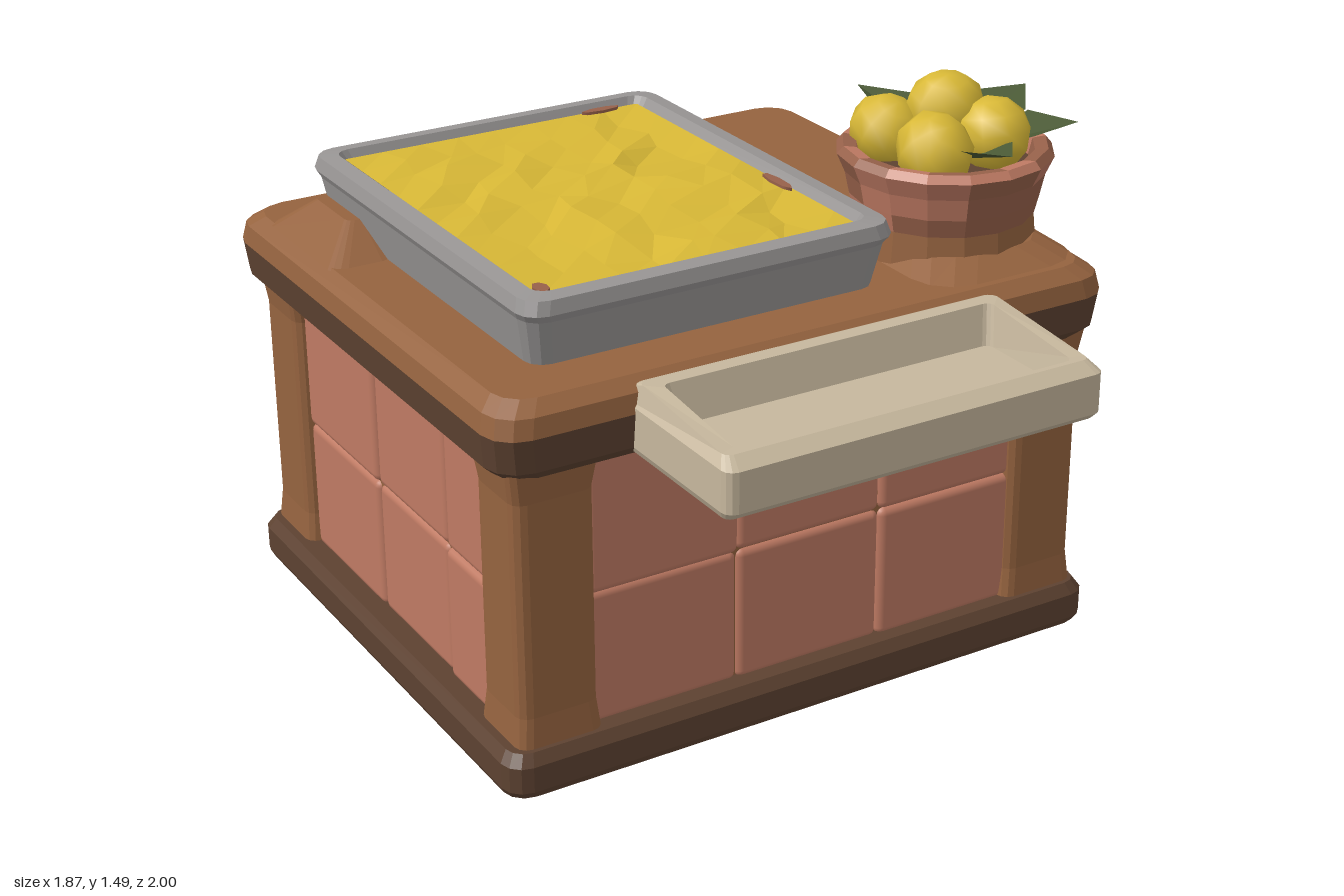
import * as THREE from 'three';
import { RoundedBoxGeometry } from 'three/addons/geometries/RoundedBoxGeometry.js';

const mat = (name, color, side = THREE.FrontSide) => {
  const m = new THREE.MeshStandardMaterial({ color, side });
  m.name = name;
  return m;
};

// Faceted copy of a geometry
function facet(g) {
  const f = g.index ? g.toNonIndexed() : g;
  f.computeVertexNormals();
  return f;
}

// Skin over stacked rounded rectangles [x0, x1, z0, z1, y, cornerRadius]
function loft(rings, capped = true, bend = (x, y) => y) {
  const pos = [], idx = [], steps = 3, n = 4 * (steps + 1);
  for (const [x0, x1, z0, z1, y, r] of rings) {
    for (let q = 0; q < 4; q++) {
      const cx = q === 0 || q === 3 ? x1 - r : x0 + r;
      const cz = q < 2 ? z1 - r : z0 + r;
      for (let s = 0; s <= steps; s++) {
        const a = (q + s / steps) * Math.PI / 2;
        const x = cx + r * Math.cos(a), z = cz + r * Math.sin(a);
        pos.push(x, bend(x, y, z), z);
      }
    }
  }
  for (let i = 0; i < rings.length - 1; i++) {
    for (let j = 0; j < n; j++) {
      const a = i * n + j, b = i * n + (j + 1) % n;
      idx.push(a, a + n, b, b, a + n, b + n);
    }
  }
  if (capped) {
    const last = (rings.length - 1) * n;
    for (let j = 1; j < n - 1; j++) {
      idx.push(0, j, j + 1, last, last + j + 1, last + j);
    }
  }
  const g = new THREE.BufferGeometry();
  g.setAttribute('position', new THREE.Float32BufferAttribute(pos, 3));
  g.setIndex(idx);
  return facet(g);
}

export function createModel() {
  const root = new THREE.Group();
  root.name = 'kitchenCounter';
  const wood = mat('wood', 0x95633f);
  const darkWood = mat('darkWood', 0x5d4231);
  const clayTile = mat('clayTile', 0xbf7a63);
  const potClay = mat('potClay', 0x97614a);
  const metal = mat('greyMetal', 0x989594);
  const cream = mat('cream', 0xc6b79d);
  const yellow = mat('yellow', 0xd8b836);
  const green = mat('leafGreen', 0x4a5935, THREE.DoubleSide);

  const add = (name, geo, material, parent = root) => {
    const m = new THREE.Mesh(geo, material);
    m.name = name;
    parent.add(m);
    return m;
  };
  let seed = 7;
  const rnd = () => (seed = (seed * 16807) % 2147483647) / 2147483647 - 0.5;

  // Open plinth frame
  add('plinth', loft([
    [-0.88, 0.79, -0.94, 0.54, 0, 0.04], [-0.92, 0.83, -0.97, 0.57, 0, 0.06],
    [-0.93, 0.84, -0.98, 0.58, 0.02, 0.06], [-0.93, 0.84, -0.98, 0.58, 0.09, 0.06],
    [-0.91, 0.82, -0.96, 0.56, 0.12, 0.05], [-0.84, 0.75, -0.90, 0.49, 0.12, 0.03],
    [-0.88, 0.79, -0.94, 0.54, 0, 0.04]], false), darkWood);

  // Countertop: dark hollow edge and lighter top
  add('counterEdge', loft([
    [-0.80, 0.72, -0.87, 0.46, 0.97, 0.03], [-0.80, 0.72, -0.87, 0.46, 0.85, 0.03],
    [-0.90, 0.81, -0.96, 0.55, 0.85, 0.08], [-0.93, 0.84, -0.99, 0.58, 0.88, 0.09],
    [-0.94, 0.85, -1.0, 0.59, 0.97, 0.09]], false), darkWood);
  add('counterTop', loft([
    [-0.94, 0.85, -1.0, 0.59, 0.97, 0.09], [-0.93, 0.84, -0.99, 0.58, 1.02, 0.09],
    [-0.89, 0.80, -0.95, 0.54, 1.05, 0.08]]), wood);

  // Uneven swellings of the top beside the tray and under the bowl
  add('counterSwelling', loft([
    [-0.90, -0.72, -0.84, -0.40, 1.045, 0.04], [-0.79, -0.73, -0.76, -0.55, 1.12, 0.02]]), wood);
  add('counterSwelling', loft([
    [0.33, 0.82, -0.40, 0.53, 1.045, 0.12], [0.40, 0.76, 0.0, 0.44, 1.09, 0.12]]), wood);

  // Corner posts, flared a little at both ends
  for (const [x0, x1] of [[-0.88, -0.66], [0.58, 0.80]]) {
    for (const [z0, z1] of [[-0.95, -0.73], [0.33, 0.54]]) {
      const ring = (y, e) => [x0 - e, x1 + e, z0 - e, z1 + e, y, 0.035];
      add('cornerPost', loft([ring(0.08, 0.012), ring(0.2, 0), ring(0.78, 0), ring(0.88, 0.014)]), wood);
    }
  }

  // Clay tiles, three columns by two rows on every wall, with wooden battens in the joints
  const frontCols = [-0.68, -0.25, 0.18, 0.60], sideCols = [-0.74, -0.30, 0.11, 0.35];
  const rows = [0.11, 0.48, 0.855];
  const tileWall = (name, cols, x, z, turn) => {
    const wall = new THREE.Group();
    wall.name = name;
    wall.position.set(x, 0, z);
    wall.rotation.y = turn;
    root.add(wall);
    // a quarter turn sends local +x to world -z
    const along = u => (turn ? -u : u);
    const middle = (cols[0] + cols[3]) / 2;
    for (let c = 0; c < 3; c++) {
      const u = along((cols[c] + cols[c + 1]) / 2);
      for (let r = 0; r < 2; r++) {
        const w = cols[c + 1] - cols[c], h = rows[r + 1] - rows[r];
        const g = new RoundedBoxGeometry(w + 0.004, h + 0.004, 0.055, 2, 0.022);
        add('tile', g, clayTile, wall).position.set(u, (rows[r] + rows[r + 1]) / 2, rnd() * 0.012);
      }
      if (c) {
        add('batten', new THREE.BoxGeometry(0.035, 0.73, 0.025), wood, wall).position.set(along(cols[c]), 0.48, 0);
      }
    }
    for (const y of rows) {
      add('batten', new THREE.BoxGeometry(cols[3] - cols[0], 0.035, 0.025), wood, wall)
        .position.set(along(middle), y, 0);
    }
  };
  tileWall('frontTiles', frontCols, 0, 0.49, 0);
  tileWall('backTiles', frontCols, 0, -0.90, 0);
  tileWall('leftTiles', sideCols, 0.75, 0, Math.PI / 2);
  tileWall('rightTiles', sideCols, -0.83, 0, Math.PI / 2);

  // Pulled-out shallow drawer with a lower front lip
  add('drawer', loft([
    [-0.57, 0.48, 0.40, 0.98, 0.86, 0.02], [-0.58, 0.49, 0.40, 1.0, 0.88, 0.03],
    [-0.58, 0.49, 0.40, 1.0, 0.985, 0.03], [-0.56, 0.47, 0.57, 0.96, 1.04, 0.02],
    [-0.52, 0.43, 0.61, 0.945, 1.04, 0.02], [-0.50, 0.41, 0.64, 0.93, 0.94, 0.02]],
  true, (x, y, z) => (y > 1 && z > 0.9 ? y - 0.03 : y)), cream);

  // Baking tray with a rounded rim
  add('tray', loft([
    [-0.74, 0.24, -0.80, 0.39, 1.04, 0.05], [-0.765, 0.265, -0.82, 0.42, 1.17, 0.06],
    [-0.775, 0.28, -0.835, 0.43, 1.19, 0.06], [-0.765, 0.27, -0.825, 0.42, 1.225, 0.06],
    [-0.72, 0.225, -0.78, 0.375, 1.23, 0.04], [-0.70, 0.205, -0.765, 0.36, 1.20, 0.03],
    [-0.69, 0.195, -0.755, 0.35, 1.10, 0.03]]), metal);

  // Lumpy yellow filling
  const fill = new THREE.PlaneGeometry(0.90, 1.12, 8, 10).rotateX(-Math.PI / 2);
  const p = fill.attributes.position;
  for (let i = 0; i < p.count; i++) {
    const edge = Math.abs(p.getX(i)) > 0.44 || Math.abs(p.getZ(i)) > 0.55;
    p.setY(i, edge ? 0 : rnd() * 0.03);
    if (!edge) {
      p.setX(i, p.getX(i) + rnd() * 0.06);
      p.setZ(i, p.getZ(i) + rnd() * 0.06);
    }
  }
  add('filling', facet(fill), yellow).position.set(-0.247, 1.21, -0.202);

  // Browned crust along the rim of the filling: x, z, half sizes
  for (const [x, z, a, b] of [[0.19, 0.0, 0.015, 0.07], [-0.68, 0.32, 0.02, 0.03], [0.08, -0.75, 0.06, 0.015]]) {
    const crust = add('crust', new THREE.CylinderGeometry(1, 1, 0.008, 7), potClay);
    crust.position.set(x, 1.215, z);
    crust.scale.set(a, 1, b);
  }

  // Wooden foot, mottled clay bowl and dark soil
  const bowl = new THREE.Group();
  bowl.name = 'fruitBowl';
  bowl.position.set(0.575, 0, 0.205);
  root.add(bowl);
  const lathe = pts => facet(new THREE.LatheGeometry(pts.map(q => new THREE.Vector2(...q)), 16));
  add('bowlFoot', lathe([[0.25, 1.04], [0.245, 1.09], [0.24, 1.14]]), wood, bowl);
  const shell = lathe([[0.24, 1.14], [0.252, 1.19], [0.265, 1.25], [0.287, 1.30],
    [0.27, 1.32], [0.235, 1.315], [0.22, 1.25]]);
  for (let k = 0; k < shell.attributes.position.count; k += 6) {
    shell.addGroup(k, 6, rnd() > 0 ? 0 : 1);
  }
  add('bowlShell', shell, [clayTile, potClay], bowl);
  add('soil', new THREE.CircleGeometry(0.235, 14).rotateX(-Math.PI / 2), darkWood, bowl).position.y = 1.27;

  // Lemons: x, y, z, radius
  for (const [x, y, z, r] of [[0.60, 1.395, 0.17, 0.1], [0.47, 1.335, 0.09, 0.095],
    [0.48, 1.335, 0.29, 0.1], [0.67, 1.345, 0.28, 0.1]]) {
    const lemon = add('lemon', new THREE.SphereGeometry(r, 9, 6), yellow);
    lemon.position.set(x, y, z);
    lemon.rotation.set(rnd() * 0.8, rnd() * 3, rnd() * 0.8);
    lemon.scale.x = 1.1;
  }

  // Folded pointed leaves: base, tip, half width
  const leaf = (bx, bz, tx, tz, ty, w) => {
    const base = new THREE.Vector3(bx, 1.28, bz), tip = new THREE.Vector3(tx, ty, tz);
    const side = new THREE.Vector3(bz - tz, 0, tx - bx).normalize().multiplyScalar(w);
    const ridge = base.clone().lerp(tip, 0.55);
    const l = ridge.clone().add(side).setY(ridge.y + 0.03);
    const r = ridge.clone().sub(side).setY(ridge.y + 0.03);
    const g = new THREE.BufferGeometry().setFromPoints(
      [base, l, ridge, l, tip, ridge, ridge, tip, r, base, ridge, r]);
    add('leaf', facet(g), green);
  };
  leaf(0.62, 0.12, 0.54, -0.15, 1.38, 0.08);
  leaf(0.62, 0.12, 0.77, -0.10, 1.36, 0.10);
  leaf(0.64, 0.15, 0.93, 0.08, 1.38, 0.11);
  leaf(0.66, 0.20, 0.89, 0.36, 1.36, 0.11);
  leaf(0.58, 0.24, 0.56, 0.51, 1.37, 0.08);
  return root;
}
